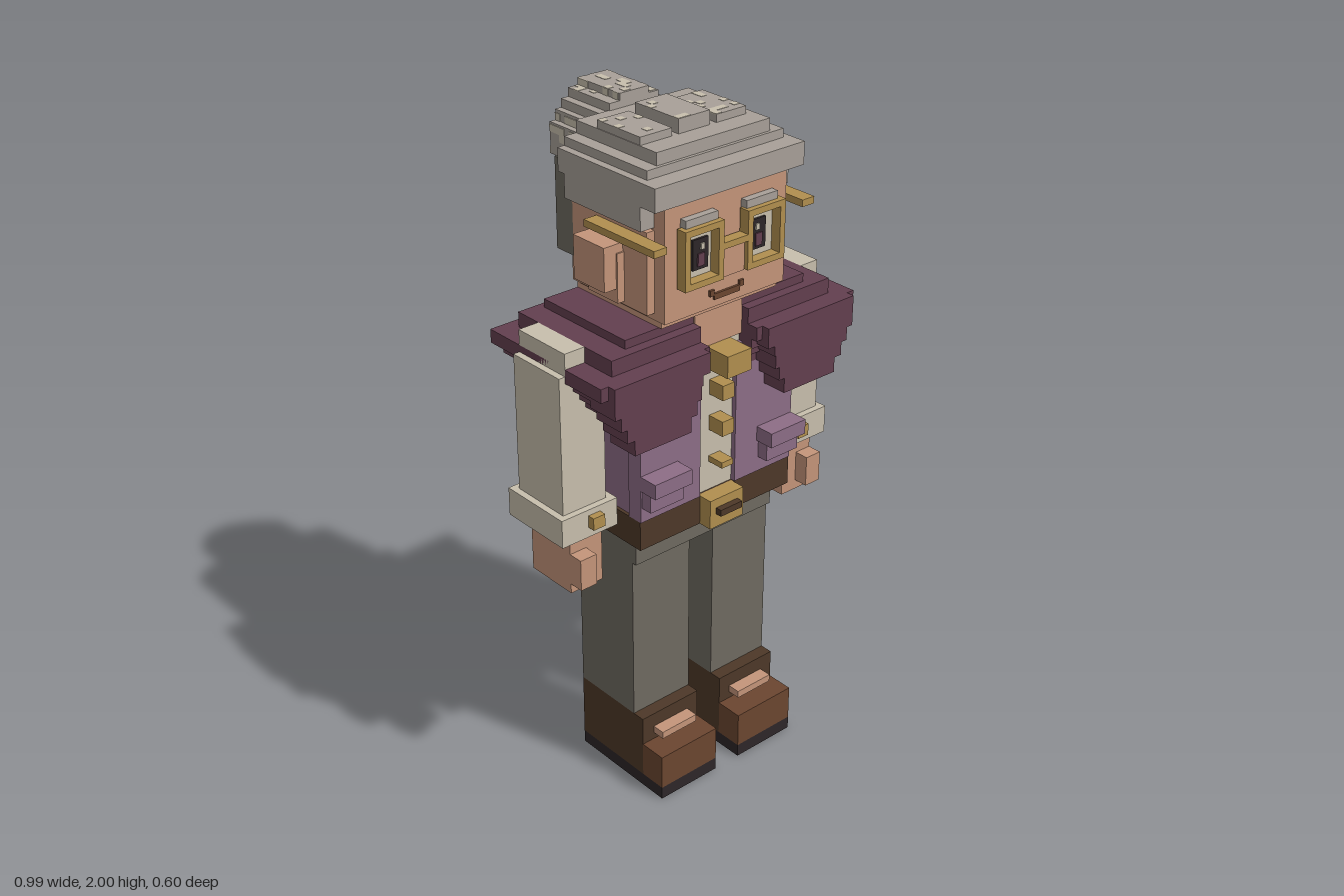
import * as THREE from 'three';

const mat = (name, hex) => {
  const m = new THREE.MeshStandardMaterial({ color: hex });
  m.name = name;
  return m;
};

export function createModel() {
  const skin = mat('skin', 0xc4957a), hair = mat('grey hair', 0xa8a098), cream = mat('cream cloth', 0xc8bfad);
  const shawl = mat('plum shawl', 0x633f4f), vest = mat('mauve vest', 0x8d6d86), gold = mat('gold', 0xb18f4f);
  const wool = mat('olive grey', 0x6f6a60), leather = mat('dark leather', 0x4d3828);
  const boot = mat('brown leather', 0x6b4630), dark = mat('near black', 0x2d2628);

  const model = new THREE.Group();
  model.name = 'elderCharacter';
  let group = model;
  const section = (name) => {
    group = new THREE.Group();
    group.name = name;
    model.add(group);
  };
  // Box given by its limits along x, y and z
  const box = (name, m, x0, x1, y0, y1, z0, z1) => {
    const mesh = new THREE.Mesh(new THREE.BoxGeometry(x1 - x0, y1 - y0, z1 - z0), m);
    mesh.position.set((x0 + x1) / 2, (y0 + y1) / 2, (z0 + z1) / 2);
    mesh.name = name;
    group.add(mesh);
  };
  // The same box on the left (+x) and right (-x)
  const pair = (name, m, x0, x1, ...yz) => {
    box(name + 'Left', m, x0, x1, ...yz);
    box(name + 'Right', m, -x1, -x0, ...yz);
  };

  // Legs and boots
  section('legs');
  pair('trouserLeg', wool, 0.045, 0.257, 0.24, 0.78, -0.08, 0.155);
  box('hips', wool, -0.257, 0.257, 0.76, 0.85, -0.107, 0.17);
  pair('bootSole', dark, 0.045, 0.257, 0, 0.04, -0.08, 0.28);
  pair('bootShaft', leather, 0.045, 0.257, 0.04, 0.24, -0.08, 0.195);
  pair('bootToe', boot, 0.045, 0.257, 0.04, 0.15, 0.17, 0.28);
  pair('bootStrap', skin, 0.085, 0.215, 0.172, 0.195, 0.19, 0.235);

  // Belt
  section('belt');
  box('beltBand', leather, -0.28, 0.28, 0.84, 0.93, -0.127, 0.217);
  box('buckle', gold, -0.062, 0.062, 0.84, 0.93, 0.21, 0.26);
  box('bucklePin', leather, -0.04, 0.04, 0.882, 0.902, 0.25, 0.28);
  box('beltLoop', wool, -0.02, 0.02, 0.84, 0.93, -0.135, -0.12);

  // Shirt, vest, pockets and buttons
  section('torso');
  box('shirt', cream, -0.255, 0.255, 0.92, 1.4, -0.09, 0.205);
  box('vestBack', vest, -0.28, 0.28, 0.93, 1.36, -0.127, -0.085);
  pair('vestSide', vest, 0.24, 0.27, 0.93, 1.36, -0.085, 0.18);
  pair('vestFront', vest, 0.065, 0.28, 0.93, 1.36, 0.17, 0.22);
  pair('pocket', vest, 0.155, 0.275, 0.975, 1.03, 0.215, 0.255);
  pair('pocketFlap', vest, 0.148, 0.28, 1.03, 1.075, 0.215, 0.28);
  box('collarClasp', gold, -0.043, 0.043, 1.32, 1.385, 0.2, 0.3);
  for (const [y0, y1] of [[1.23, 1.275], [1.12, 1.165], [1.02, 1.038]])
    box('shirtButton', gold, -0.021, 0.021, y0, y1, 0.2, 0.26);

  // Arms and hands
  section('arms');
  pair('sleeve', cream, 0.328, 0.475, 0.98, 1.4, -0.063, 0.13);
  pair('sleeveTop', cream, 0.328, 0.455, 1.4, 1.465, -0.063, 0.13);
  pair('cuff', cream, 0.305, 0.495, 0.905, 0.99, -0.085, 0.15);
  pair('cuffButton', gold, 0.365, 0.405, 0.935, 0.972, 0.145, 0.172);
  pair('hand', skin, 0.345, 0.455, 0.735, 0.91, -0.04, 0.13);
  pair('thumb', skin, 0.4, 0.455, 0.765, 0.86, 0.12, 0.175);

  // Stepped shawl: each layer wraps the back and shoulders, open at the throat
  section('shawl');
  const layers = [
    [0.32, 1.465, 1.49, -0.127, 0.21], [0.39, 1.42, 1.465, -0.15, 0.24],
    [0.455, 1.38, 1.42, -0.19, 0.275], [0.43, 1.35, 1.38, -0.17, 0.255],
    [0.41, 1.32, 1.35, -0.15, 0.235], [0.39, 1.29, 1.32, -0.135, 0.222],
  ];
  for (const [x, y0, y1, back, front] of layers) {
    box('shawlBack', shawl, -x, x, y0, y1, back, 0);
    pair('shawlShoulder', shawl, 0.085, x, y0, y1, 0, front);
  }
  const panels = [
    [0.105, 0.43, 1.36, 1.42], [0.13, 0.43, 1.33, 1.36], [0.135, 0.41, 1.29, 1.33],
    [0.15, 0.39, 1.25, 1.29], [0.17, 0.365, 1.205, 1.25],
  ];
  for (const [x0, x1, y0, y1] of panels) pair('shawlPanel', shawl, x0, x1, y0, y1, 0.2, 0.3);

  // Head, ears and face
  section('head');
  box('neck', skin, -0.085, 0.085, 1.385, 1.52, -0.08, 0.215);
  box('jaw', skin, -0.205, 0.205, 1.49, 1.54, -0.127, 0.22);
  box('skull', skin, -0.212, 0.212, 1.51, 1.86, -0.105, 0.24);
  pair('cheek', skin, 0.2, 0.237, 1.53, 1.76, -0.105, 0.2);
  pair('earBase', skin, 0.23, 0.26, 1.54, 1.68, -0.01, 0.11);
  pair('ear', skin, 0.23, 0.3, 1.58, 1.705, -0.02, 0.105);
  box('nose', skin, -0.042, 0.042, 1.6, 1.69, 0.23, 0.265);
  box('mouth', boot, -0.045, 0.045, 1.533, 1.55, 0.238, 0.247);
  pair('mouthCorner', boot, 0.045, 0.06, 1.545, 1.562, 0.238, 0.247);
  pair('eyeWhite', cream, 0.06, 0.158, 1.615, 1.755, 0.238, 0.246);
  pair('iris', dark, 0.075, 0.128, 1.64, 1.725, 0.244, 0.253);
  pair('irisGlow', shawl, 0.09, 0.113, 1.65, 1.685, 0.25, 0.257);
  pair('eyeGlint', cream, 0.09, 0.103, 1.695, 1.712, 0.25, 0.257);
  pair('eyebrow', hair, 0.05, 0.16, 1.765, 1.79, 0.235, 0.262);

  // Glasses
  section('glasses');
  pair('rimTop', gold, 0.042, 0.175, 1.75, 1.768, 0.245, 0.278);
  pair('rimBottom', gold, 0.042, 0.175, 1.602, 1.62, 0.245, 0.278);
  pair('rimInner', gold, 0.042, 0.06, 1.62, 1.75, 0.245, 0.278);
  pair('rimOuter', gold, 0.157, 0.175, 1.62, 1.75, 0.245, 0.278);
  box('bridge', gold, -0.045, 0.045, 1.685, 1.703, 0.245, 0.278);
  pair('temple', gold, 0.237, 0.28, 1.727, 1.747, 0, 0.278);

  // Hair: cap layers, side locks, dark nape, three curls
  section('hair');
  box('hairCapLower', hair, -0.258, 0.258, 1.835, 1.9, -0.13, 0.257);
  box('hairCapMiddle', hair, -0.235, 0.235, 1.9, 1.925, -0.13, 0.2);
  box('hairCapUpper', hair, -0.195, 0.195, 1.925, 1.96, -0.13, 0.19);
  pair('sideLock', hair, 0.19, 0.258, 1.768, 1.84, -0.105, 0.2);
  box('napeHair', wool, -0.237, 0.237, 1.6, 1.86, -0.17, -0.1);
  const curls = [[-0.193, -0.087, 1.982], [-0.065, 0.042, 2], [0.065, 0.17, 1.982]];
  for (const [x0, x1, top] of curls) box('curl', hair, x0, x1, 1.95, top, -0.045, 0.125);

  // Rounded bun in stepped slices
  const bun = [
    [0.11, 1.79, 1.81], [0.15, 1.81, 1.9], [0.13, 1.9, 1.93],
    [0.11, 1.93, 1.955], [0.085, 1.955, 1.98], [0.05, 1.98, 2],
  ];
  for (const [w, y0, y1] of bun) box('bunSlice', hair, -w, w, y0, y1, -0.3, -0.125);

  // Pale flecks on the curls and bun
  section('hairFlecks');
  let seed = 7;
  const rand = () => (seed = (seed * 16807) % 2147483647) / 2147483647;
  const s = 0.021, t = 0.002;
  for (const [x0, , top] of curls)
    for (let i = 0; i < 5; i++)
      for (let j = 0; j < 8; j++)
        if (rand() < 0.22) {
          const x = x0 + i * s, z = -0.045 + j * s;
          box('curlFleck', cream, x, x + s, top - t, top + t / 2, z, z + s);
        }
  for (const [w, y0, y1] of bun) {
    for (let y = y0; y < y1 - 0.015; y += s) {
      const h = Math.min(y + s, y1);
      for (let x = -w; x < w - s; x += s)
        if (rand() < 0.28) box('bunBackFleck', cream, x, x + s, y, h, -0.302, -0.298);
      for (let z = -0.3; z < -0.15; z += s)
        if (rand() < 0.35) pair('bunSideFleck', cream, w - t, w + t, y, h, z, z + s);
    }
    if (y0 > 1.95)
      for (let x = -w; x < w - s; x += s)
        for (let z = -0.3; z < -0.15; z += s)
          if (rand() < 0.25) box('bunTopFleck', cream, x, x + s, y1 - t, y1 + t / 2, z, z + s);
  }
  return model;
}
